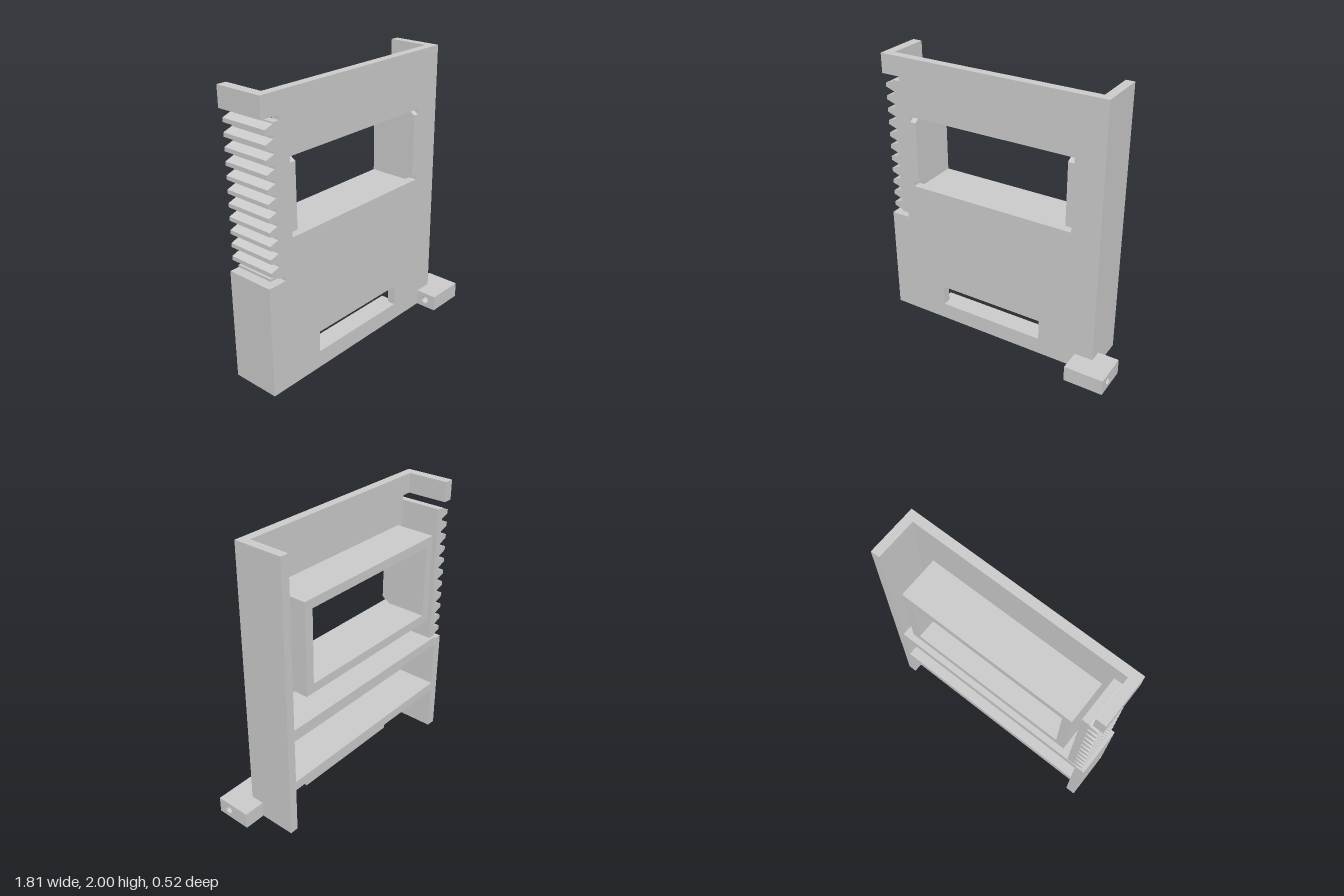
import * as THREE from 'three';

const BACK = -0.26, INNER = 0.035, FRONT = 0.097;

export function createModel() {
  const model = new THREE.Group();
  const material = new THREE.MeshStandardMaterial({ color: 0xcccccc, flatShading: true });

  const add = (name, geometry) => {
    const mesh = new THREE.Mesh(geometry, material);
    mesh.name = name;
    model.add(mesh);
    return mesh;
  };
  // Box given by its limits on each axis
  const box = (name, x0, x1, y0, y1, z0, z1) =>
    add(name, new THREE.BoxGeometry(x1 - x0, y1 - y0, z1 - z0)
      .translate((x0 + x1) / 2, (y0 + y1) / 2, (z0 + z1) / 2));
  const points = (list) => list.map(([x, y]) => new THREE.Vector2(x, y));
  const rect = (x0, x1, y0, y1) => points([[x0, y0], [x1, y0], [x1, y1], [x0, y1]]);
  // Outline in x and y, extruded between two depths
  const slab = (name, outline, holes, z0, z1) => {
    const shape = new THREE.Shape(outline);
    holes.forEach((h) => shape.holes.push(new THREE.Path(h)));
    return add(name, new THREE.ExtrudeGeometry(shape, { depth: z1 - z0, bevelEnabled: false }).translate(0, 0, z0));
  };

  // Front plate: rack notch, window with corner ears, lower slot
  const L = -0.655, R = 0.502, B = 1.065, T = 1.59, ear = 0.043, earH = 0.038;
  const windowHole = points([
    [L - ear, B], [R + ear, B], [R + ear, B + earH], [R, B + earH],
    [R, T - earH], [R + ear, T - earH], [R + ear, T], [L - ear, T],
    [L - ear, T - earH], [L, T - earH], [L, B + earH], [L - ear, B + earH],
  ]);
  slab('frontPlate', points([
    [-0.91, 0], [0.75, 0], [0.75, 2], [-0.91, 2],
    [-0.91, 1.86], [-0.77, 1.86], [-0.77, 0.793], [-0.91, 0.793],
  ]), [windowHole, rect(-0.48, 0.327, 0.125, 0.28)], INNER, FRONT);

  // Sloped floors of the window's corner ears
  for (const x of [L - ear, R]) {
    for (const [outer, side] of [[T, 1], [B, -1]]) {
      const edge = outer - side * earH;
      const shape = new THREE.Shape(points([[-FRONT, edge], [-INNER, edge], [-INNER, outer]]));
      const geometry = new THREE.ExtrudeGeometry(shape, { depth: ear, bevelEnabled: false });
      add('earSlope', geometry.rotateY(Math.PI / 2).translate(x, 0, 0));
    }
  }

  // Frame around the window, reaching to the back
  slab('windowFrame', rect(-0.72, 0.568, 1.0, 1.655), [rect(L, R, B, T)], BACK, INNER);

  // Side walls
  box('leftWall', 0.688, 0.75, 0, 2, BACK, INNER);
  box('rightLowerWall', -0.91, -0.84, 0, 0.793, BACK, INNER);
  box('rightUpperWall', -0.91, -0.84, 1.86, 2, BACK, INNER);

  // Shelves and the ledge behind the lower slot
  box('upperShelf', -0.84, 0.688, 0.742, 0.81, BACK, INNER);
  box('lowerShelf', -0.84, 0.688, 0.332, 0.4, BACK, INNER);
  box('slotLedge', -0.53, 0.37, 0.05, 0.12, -0.055, INNER);

  // Toothed rack in the side notch
  const rack = [[-0.77, 0.83], [-0.77, 1.828], [-0.82, 1.828]];
  const teeth = 11, pitch = 0.0907;
  for (let i = 0; i < teeth; i++) {
    const y = 1.783 - i * pitch;
    rack.push([-0.82, y + 0.036], [-0.885, y + 0.014], [-0.885, y - 0.014], [-0.82, y - 0.036]);
  }
  rack.push([-0.82, 0.83]);
  slab('toothedRack', points(rack), [], BACK, FRONT);

  // Corner lug with a round hole running sideways
  const hole = new THREE.Path().absarc(-0.17, 0.058, 0.028, 0, Math.PI * 2, true);
  const lug = new THREE.Shape(rect(-0.257, 0, 0, 0.115));
  lug.holes.push(hole);
  const lugGeometry = new THREE.ExtrudeGeometry(lug, { depth: 0.287, bevelEnabled: false, curveSegments: 24 });
  add('cornerLug', lugGeometry.rotateY(Math.PI / 2).translate(0.617, 0, 0));

  return model;
}
